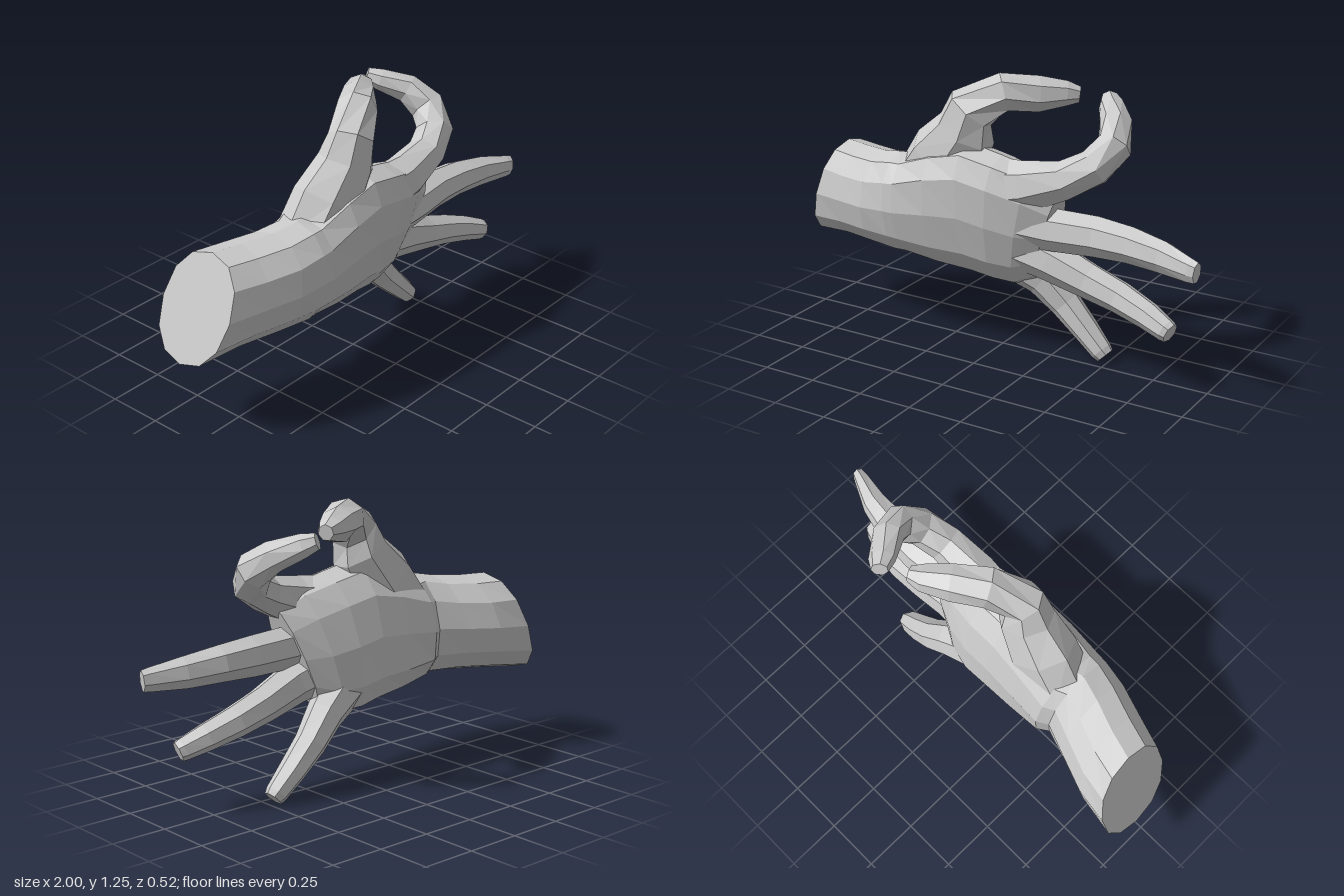
import * as THREE from 'three';

const material = new THREE.MeshStandardMaterial({ color: 0xcccccc, flatShading: true });

// Skins a list of equal-sized rings (counter-clockwise about the direction of travel) and closes both ends
function skin(name, rings) {
  const n = rings[0].length;
  const points = rings.flat();
  const index = [];
  for (let i = 0; i < rings.length - 1; i++) {
    for (let j = 0; j < n; j++) {
      const a = i * n + j, b = i * n + (j + 1) % n;
      index.push(a, b, b + n, a, b + n, a + n);
    }
  }
  const middle = ring => ring.reduce((sum, p) => sum.add(p), new THREE.Vector3()).divideScalar(n);
  const last = (rings.length - 1) * n;
  const start = points.push(middle(rings[0])) - 1;
  const end = points.push(middle(rings[rings.length - 1])) - 1;
  for (let j = 0; j < n; j++) {
    const k = (j + 1) % n;
    index.push(start, k, j, end, last + j, last + k);
  }
  const indexed = new THREE.BufferGeometry().setFromPoints(points);
  indexed.setIndex(index);
  const geometry = indexed.toNonIndexed();
  geometry.computeVertexNormals();
  const mesh = new THREE.Mesh(geometry, material);
  mesh.name = name;
  return mesh;
}

// Forearm and palm section: leaning (dx/dy) and skewed (dz/dy) outline, from round (1) to boxy (below 1)
function handRing([x, yLow, yHigh, zBack, zFront, lean, skew, power]) {
  const yMid = (yLow + yHigh) / 2, zMid = (zBack + zFront) / 2;
  const round = v => Math.sign(v) * Math.abs(v) ** power;
  return Array.from({ length: 12 }, (_, j) => {
    const angle = j / 12 * Math.PI * 2;
    const dy = round(Math.cos(angle)) * (yHigh - yLow) / 2;
    const dz = round(Math.sin(angle)) * (zFront - zBack) / 2;
    return new THREE.Vector3(x + lean * dy, yMid + dy, zMid + dz + skew * dy);
  });
}

// Digit: rows of x, y, z, half width across the hand, half depth
function digit(name, rows) {
  const sides = 7;
  const path = rows.map(r => new THREE.Vector3(r[0], r[1], r[2]));
  const rings = rows.map((row, i) => {
    const t = new THREE.Vector3();
    if (i > 0) t.add(path[i].clone().sub(path[i - 1]).normalize());
    if (i < rows.length - 1) t.add(path[i + 1].clone().sub(path[i]).normalize());
    t.normalize();
    const u = new THREE.Vector3(0, 0, 1).cross(t).normalize();
    const v = t.clone().cross(u);
    return Array.from({ length: sides }, (_, j) => {
      const angle = j / sides * Math.PI * 2;
      return path[i].clone()
        .addScaledVector(u, Math.cos(angle) * row[3])
        .addScaledVector(v, Math.sin(angle) * row[4]);
    });
  });
  return skin(name, rings);
}

export function createModel() {
  const hand = new THREE.Group();
  hand.name = 'hand';

  // Forearm stump, wrist, palm and knuckle line
  hand.add(skin('forearmAndPalm', [
    [-0.92, 0.36, 0.83, -0.235, 0.14, 0.34, 0.12, 0.9],
    [-0.76, 0.38, 0.83, -0.21, 0.19, 0.2, 0.12, 0.95],
    [-0.60, 0.39, 0.84, -0.15, 0.24, 0.1, 0.1, 0.95],
    [-0.47, 0.39, 0.86, -0.10, 0.255, 0, 0.08, 0.9],
    [-0.42, 0.39, 0.86, -0.13, 0.255, 0, 0.1, 0.85],
    [-0.26, 0.36, 0.92, -0.125, 0.245, 0, 0.14, 0.8],
    [-0.10, 0.34, 0.96, -0.12, 0.23, 0, 0.17, 0.8],
    [0.03, 0.32, 0.93, -0.115, 0.215, 0.1, 0.19, 0.8],
    [0.16, 0.31, 0.89, -0.085, 0.185, 0.25, 0.2, 0.85],
    [0.27, 0.36, 0.82, -0.03, 0.14, 0.35, 0.2, 0.9],
  ].map(handRing)));

  // Thumb, rising broadly out of the palm and arching over toward the index finger
  hand.add(digit('thumb', [
    [-0.39, 0.69, 0.06, 0.15, 0.14],
    [-0.25, 0.85, 0.07, 0.18, 0.14],
    [-0.14, 1.00, 0.08, 0.14, 0.115],
    [-0.11, 1.10, 0.085, 0.115, 0.095],
    [0.01, 1.175, 0.01, 0.085, 0.09],
    [0.13, 1.165, -0.08, 0.08, 0.08],
    [0.23, 1.165, -0.15, 0.055, 0.06],
    [0.28, 1.16, -0.175, 0.035, 0.035],
  ]));

  // Index finger, bent back to meet the thumb
  hand.add(digit('indexFinger', [
    [0.00, 0.77, 0.09, 0.14, 0.12],
    [0.20, 0.815, 0.12, 0.115, 0.095],
    [0.37, 0.87, 0.11, 0.085, 0.085],
    [0.48, 0.93, 0.07, 0.082, 0.085],
    [0.53, 1.01, -0.01, 0.075, 0.085],
    [0.495, 1.08, -0.10, 0.065, 0.075],
    [0.42, 1.125, -0.20, 0.05, 0.06],
    [0.385, 1.145, -0.245, 0.035, 0.038],
  ]));

  // Three spread fingers
  hand.add(digit('middleFinger', [
    [0.08, 0.65, 0.09, 0.11, 0.11],
    [0.30, 0.63, 0.08, 0.095, 0.09],
    [0.50, 0.63, 0.06, 0.09, 0.085],
    [0.66, 0.625, 0.065, 0.08, 0.08],
    [0.82, 0.61, 0.09, 0.07, 0.06],
    [0.96, 0.595, 0.135, 0.053, 0.035],
    [0.99, 0.592, 0.142, 0.048, 0.027],
  ]));
  hand.add(digit('ringFinger', [
    [0.08, 0.53, 0.05, 0.11, 0.11],
    [0.28, 0.475, 0.05, 0.095, 0.09],
    [0.45, 0.415, 0.04, 0.08, 0.08],
    [0.60, 0.37, 0.04, 0.07, 0.075],
    [0.74, 0.325, 0.06, 0.06, 0.065],
    [0.84, 0.288, 0.085, 0.05, 0.05],
    [0.86, 0.28, 0.09, 0.045, 0.04],
  ]));
  hand.add(digit('littleFinger', [
    [0.04, 0.44, -0.01, 0.11, 0.11],
    [0.18, 0.34, -0.05, 0.085, 0.085],
    [0.28, 0.235, -0.07, 0.072, 0.073],
    [0.38, 0.135, -0.07, 0.06, 0.065],
    [0.465, 0.05, -0.065, 0.05, 0.052],
    [0.485, 0.03, -0.065, 0.043, 0.042],
  ]));

  return hand;
}
